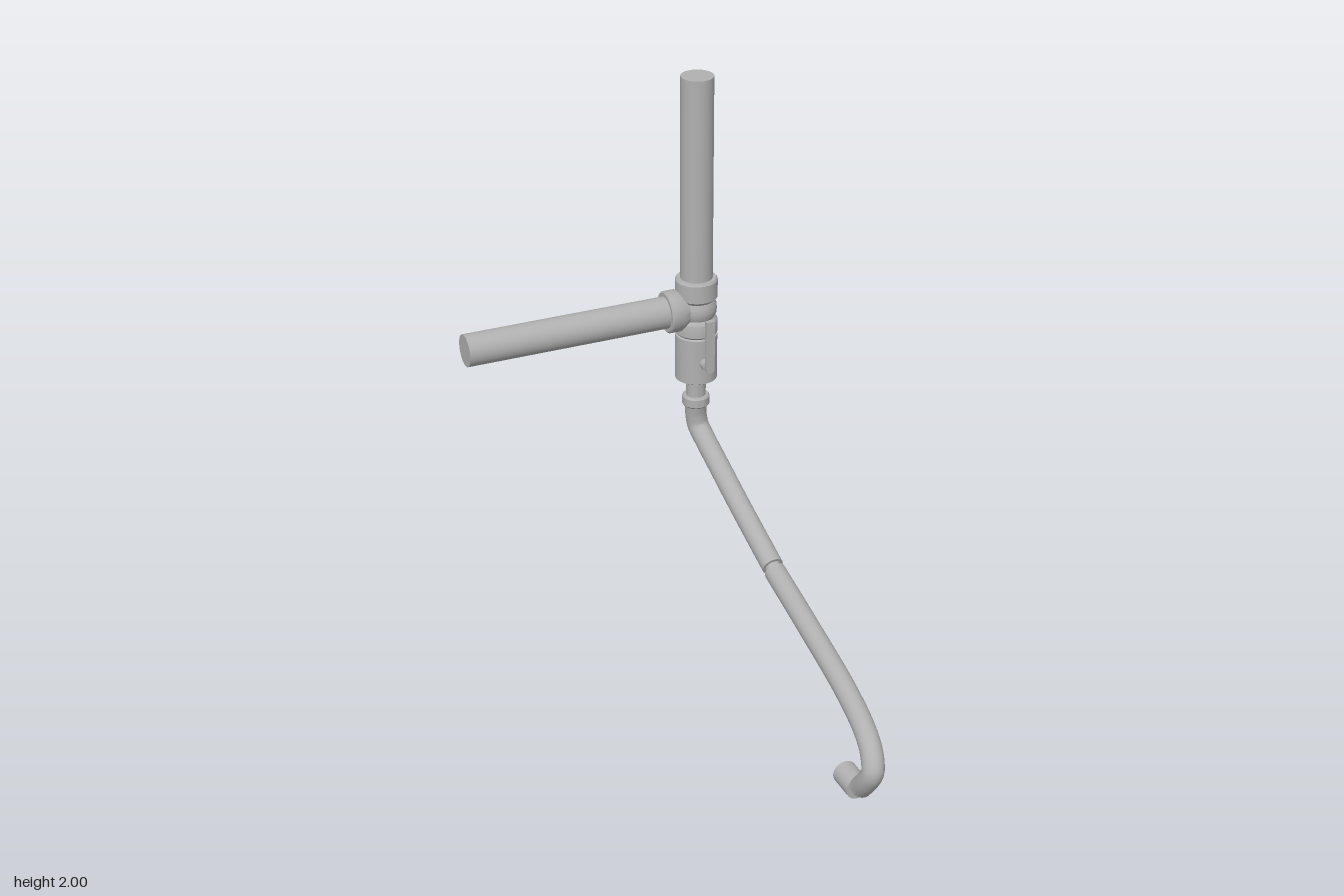
import * as THREE from 'three';
import { toCreasedNormals } from 'three/addons/utils/BufferGeometryUtils.js';

const metal = new THREE.MeshStandardMaterial({ color: 0xb0b0b0 });
metal.name = 'grey metal';

const v = (x, y, z) => new THREE.Vector3(x, y, z);

export function createModel() {
  const model = new THREE.Group();
  const X = 0.367, Z = -0.667, TEE_Y = 1.175;

  function add(name, geometry, x = 0, y = 0, z = 0) {
    const mesh = new THREE.Mesh(geometry, metal);
    mesh.name = name;
    mesh.position.set(x, y, z);
    model.add(mesh);
    return mesh;
  }
  // Closed turned part from [radius, height] pairs, listed upwards
  function turned(profile) {
    const pts = profile.map(([r, y]) => new THREE.Vector2(r, y));
    pts.unshift(new THREE.Vector2(0, profile[0][1]));
    pts.push(new THREE.Vector2(0, profile[profile.length - 1][1]));
    return toCreasedNormals(new THREE.LatheGeometry(pts, 40), 0.6);
  }
  // Straight rod between two points
  function rod(name, a, b, radius) {
    const mesh = add(name, new THREE.CylinderGeometry(radius, radius, a.distanceTo(b), 32));
    mesh.position.copy(a).lerp(b, 0.5);
    mesh.quaternion.setFromUnitVectors(v(0, 1, 0), b.clone().sub(a).normalize());
    return mesh;
  }

  // Main pipes
  rod('verticalPipe', v(X, 1.2, Z), v(X, 2, Z), 0.055);
  rod('sidePipe', v(-0.46, TEE_Y, Z), v(X, TEE_Y, Z), 0.055);

  // Tee fitting with valve body below it
  add('valveBody', turned([
    [0.066, 0.91], [0.072, 0.914], [0.072, 1.077], [0.066, 1.081],
    [0.072, 1.088], [0.072, 1.132], [0.066, 1.141], [0.062, 1.145],
    [0.068, 1.158], [0.07, 1.175], [0.068, 1.192], [0.062, 1.207],
    [0.072, 1.218], [0.072, 1.28], [0.067, 1.287],
  ]), X, 0, Z);
  const sideCollar = add('teeSideCollar', turned([
    [0.05, 0.02], [0.055, 0.045], [0.072, 0.072], [0.072, 0.111], [0.067, 0.115],
  ]), X, TEE_Y, Z);
  sideCollar.rotation.z = Math.PI / 2;

  // Outlet spout and its hose nut
  add('outletNipple', turned([[0.034, 0.8], [0.034, 0.92]]), X, 0, Z);
  add('hoseNut', turned([
    [0.042, 0.804], [0.047, 0.81], [0.047, 0.838], [0.042, 0.844],
  ]), X, 0, Z);

  // Lever handle with stem
  rod('leverStem', v(X, 0.992, -0.61), v(X, 0.992, -0.57), 0.018);
  rod('leverBolt', v(X, 0.992, -0.575), v(X, 0.992, -0.546), 0.013);
  const lever = new THREE.Shape();
  lever.moveTo(-0.015, 0.178);
  lever.lineTo(-0.015, 0);
  lever.absarc(0, 0, 0.015, Math.PI, 2 * Math.PI, false);
  lever.lineTo(0.015, 0.178);
  lever.closePath();
  add('leverHandle', new THREE.ExtrudeGeometry(lever, { depth: 0.014, bevelEnabled: false }),
    X, 0.992, -0.56);

  // Hose in two lengths, with closed ends
  function hose(name, points) {
    const curve = new THREE.CatmullRomCurve3(points);
    const r = 0.037;
    add(name, new THREE.TubeGeometry(curve, 80, r, 24));
    for (const t of [0, 1]) {
      const p = curve.getPointAt(t);
      const cap = add(name + 'End', new THREE.CircleGeometry(r, 24), p.x, p.y, p.z);
      const out = curve.getTangentAt(t).multiplyScalar(t ? 1 : -1);
      cap.quaternion.setFromUnitVectors(v(0, 0, 1), out);
    }
  }
  hose('upperHose', [
    v(X, 0.81, Z), v(0.37, 0.765, -0.673), v(0.376, 0.72, -0.667), v(0.386, 0.675, -0.62),
    v(0.4, 0.61, -0.53), v(0.409, 0.548, -0.42), v(0.415, 0.485, -0.28), v(0.418, 0.43, -0.14),
  ]);
  hose('lowerHose', [
    v(0.418, 0.42, -0.122), v(0.413, 0.363, 0.14), v(0.404, 0.296, 0.44),
    v(0.393, 0.245, 0.6), v(0.382, 0.205, 0.67), v(0.372, 0.16, 0.7),
    v(0.367, 0.115, 0.68), v(0.367, 0.06, 0.637),
  ]);
  rod('hoseJoint', v(0.418, 0.437, -0.16), v(0.418, 0.415, -0.1), 0.027);

  // Loose end plug lying on the ground
  rod('endPlug', v(X, 0.041, 0.522), v(X, 0.041, 0.616), 0.041);

  return model;
}
